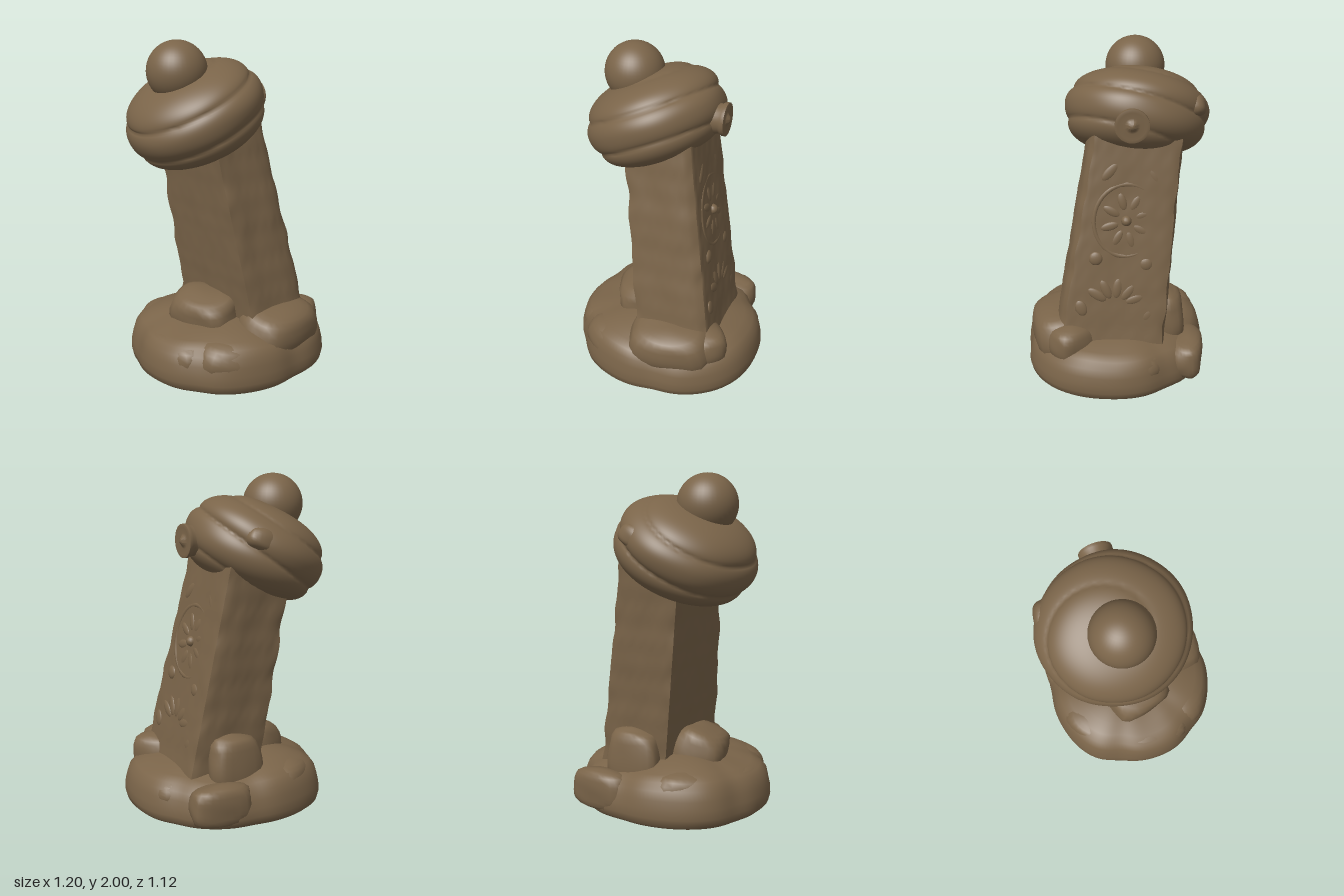
import * as THREE from 'three';
import { mergeVertices, toCreasedNormals } from 'three/addons/utils/BufferGeometryUtils.js';

const stone = new THREE.MeshStandardMaterial({ color: 0x7a6449 });
stone.name = 'brown stone';

// Smooth repeatable bumps in the range -1..1
const bump = (x, y, z, f, s = 0) =>
  (Math.sin(x * f + s + 1.3 * Math.sin(y * f * 0.8 + s)) +
   Math.sin(y * f * 1.1 + s * 2 + 1.3 * Math.sin(z * f * 0.9)) +
   Math.sin(z * f + s * 3 + 1.3 * Math.sin(x * f * 0.7))) / 3;

// Moves every vertex by a rule
function warp(geo, rule) {
  const p = geo.attributes.position, v = new THREE.Vector3();
  for (let i = 0; i < p.count; i++) {
    rule(v.fromBufferAttribute(p, i));
    p.setXYZ(i, v.x, v.y, v.z);
  }
  return geo;
}

// Joins seams and gives smooth normals, keeping edges sharper than the crease
function smooth(geo, crease) {
  geo.deleteAttribute('uv');
  geo.deleteAttribute('normal');
  const g = mergeVertices(geo, 1e-4);
  g.computeVertexNormals();
  return crease ? toCreasedNormals(g, crease) : g;
}

function add(parent, name, geo, pos = [0, 0, 0], rot = [0, 0, 0]) {
  const m = new THREE.Mesh(geo, stone);
  m.name = name;
  m.position.set(...pos);
  m.rotation.set(...rot);
  parent.add(m);
}

// Boulder: a sphere pushed towards a box, with bumps
function rock(parent, name, pos, size, rot, seed, boxy) {
  const geo = warp(new THREE.SphereGeometry(1, 28, 18), v => {
    const n = Math.max(Math.abs(v.x), Math.abs(v.y), Math.abs(v.z));
    v.multiplyScalar((1 - boxy) + boxy * Math.min(1 / n, 1.4));
    v.multiplyScalar(1 + 0.07 * bump(v.x, v.y, v.z, 3, seed));
    v.multiply(new THREE.Vector3(...size));
  });
  add(parent, name, smooth(geo), pos, rot);
}

function buildBase(g) {
  // Round plinth with a flat underside and a few clefts in its rim
  const profile = [[0, 0], [0.3, 0], [0.565, 0], [0.588, 0.02], [0.597, 0.06], [0.593, 0.11],
    [0.582, 0.16], [0.567, 0.21], [0.535, 0.25], [0.48, 0.275], [0.4, 0.3], [0.28, 0.33], [0, 0.35]]
    .map(([x, y]) => new THREE.Vector2(x, y));
  const clefts = [[0.07, -0.52], [0.5, -0.33], [-0.47, 0.3], [0.07, 0.54], [-0.53, -0.25]]
    .map(([x, z]) => Math.atan2(z, x));
  const geo = warp(new THREE.LatheGeometry(profile, 144), v => {
    const a = Math.atan2(v.z, v.x), s = Math.sin(2 * a);
    let cleft = 0;
    for (const c of clefts) cleft += Math.exp(-30 * (1 - Math.cos(a - c)) * 2);
    const k = 1 + 0.03 * s * s + 0.02 * s * Math.abs(s) - (0.025 + 0.1 * v.y) * cleft
      + 0.012 * bump(v.x, v.y, v.z, 9) * Math.min(1, v.y * 8);
    v.x *= k;
    v.z *= k * 0.945;
    if (v.y > 0.03) v.y += (0.025 * bump(v.x, 0, v.z, 8, 2) - 0.03 * v.x) * v.y / 0.28;
  });
  add(g, 'plinth', smooth(geo, 0.8));

  // Boulders heaped round the foot of the pillar
  rock(g, 'sideBlock', [-0.17, 0.3, 0], [0.165, 0.175, 0.21], [0.05, 0.25, 0.22], 1, 0.7);
  rock(g, 'backBoulder', [0.1, 0.32, -0.33], [0.17, 0.18, 0.095], [0.05, 0.1, 0], 2, 0.5);
  rock(g, 'backLedge', [0.26, 0.14, -0.44], [0.19, 0.12, 0.1], [0, -0.12, 0], 3, 0.5);
  rock(g, 'frontBoulder', [0.12, 0.26, 0.34], [0.27, 0.16, 0.18], [0.25, 0.05, 0], 4, 0.35);
  rock(g, 'cornerBoulder', [0.33, 0.26, 0.27], [0.12, 0.12, 0.15], [0, 0.7, 0], 5, 0.3);
  rock(g, 'leftLedge', [-0.42, 0.16, 0.02], [0.14, 0.12, 0.25], [0, 0, 0.05], 6, 0.4);
  rock(g, 'frontLeftLedge', [-0.24, 0.17, 0.3], [0.22, 0.13, 0.18], [0.1, -0.5, 0], 7, 0.3);
  rock(g, 'rightLedge', [0.41, 0.16, -0.05], [0.15, 0.1, 0.24], [0, 0, -0.08], 8, 0.3);
  rock(g, 'backLeftLedge', [-0.24, 0.17, -0.32], [0.22, 0.13, 0.17], [0, 0.6, 0], 9, 0.3);
}

function buildPillar(g) {
  // Leaning, tapering shaft with chipped, worn edges
  const geo = warp(new THREE.BoxGeometry(1, 1.35, 1, 16, 72, 22), v => {
    const y = v.y + 0.855, t = (y - 0.4) / 1.05;
    const edge = (v.x * v.z * 4) ** 6;
    const frontRight = Math.max(0, v.x * v.z * 4) ** 4 * (v.x > 0 ? 1 : 0);
    const wear = 0.004 * bump(v.x, y, v.z, 13) + 0.002 * bump(v.x, y, v.z, 37, 1)
      - 0.008 * edge * (1 + bump(v.x, y, v.z, 23, 2));
    const sx = 0.46 - 0.05 * t, sz = 0.66 - 0.1 * t;
    const x = v.x * (sx + 1.5 * wear), z = v.z * (sz + 2.5 * wear);
    v.set(0.12 - 0.15 * t + x, y, 0.02 - 0.135 * t + z + 0.02 * x - 0.03 * frontRight);
  });
  geo.computeVertexNormals();
  add(g, 'pillar', geo);

  // Worn relief on the +x face
  const relief = new THREE.Group();
  relief.name = 'reliefCarving';
  relief.position.set(0.345, 0.4, 0.02);
  relief.rotation.set(-0.13, 0, 0.165);
  g.add(relief);
  const boss = (name, y, z, ry, rz, h, turn = 0) => {
    const s = new THREE.SphereGeometry(1, 16, 10).scale(h, ry, rz);
    add(relief, name, s, [0, y, z], [turn, 0, 0]);
  };
  boss('centreBoss', 0.64, 0, 0.032, 0.032, 0.035);
  for (const s of [-1, 1]) {
    boss('roundBoss', 0.39, s * 0.15, 0.042, 0.042, 0.018);
    boss('lowerScroll', 0.07, s * 0.2, 0.05, 0.035, 0.012, s * 0.5);
    boss('upperLeaf', 0.92, s * 0.13, 0.07, 0.03, 0.012, -s * 0.6);
  }
  for (let i = 0; i < 8; i++) {
    const a = i * Math.PI / 4 + 0.39;
    boss('rosettePetal', 0.64 + 0.12 * Math.cos(a), 0.1 * Math.sin(a), 0.055, 0.026, 0.011, a);
  }
  for (let i = -2; i <= 2; i++) {
    const a = i * 0.55;
    boss('fanPetal', 0.12 + 0.1 * Math.cos(a), 0.13 * Math.sin(a), 0.065, 0.03, 0.013, a);
  }
  const ring = new THREE.TorusGeometry(0.19, 0.014, 8, 40).rotateY(Math.PI / 2).scale(0.8, 1.15, 1);
  add(relief, 'ovalBorder', ring, [-0.003, 0.64, 0]);
}

function buildTop(g) {
  // Tilted full turban with one spiralling wrap of cloth
  const geo = warp(new THREE.SphereGeometry(1, 112, 72), v => {
    const lat = Math.acos(THREE.MathUtils.clamp(v.y, -1, 1)), a = Math.atan2(v.z, v.x);
    const s = Math.sin(lat), n = v.y < 0 ? 2.6 : 2.2;
    const full = (s ** n + Math.abs(v.y) ** n) ** (-1 / n);
    const phase = lat * 1.35 + a / (2 * Math.PI) + 0.3 * Math.sin(a + 0.8) * s;
    const fold = Math.sqrt(Math.abs(Math.sin(Math.PI * phase)));
    const k = full * (1 + s * (0.07 * fold - 0.055) + 0.012 * bump(v.x, v.y, v.z, 5));
    v.set(v.x * 0.42 * k, v.y * 0.262 * k, v.z * 0.427 * k);
  });
  add(g, 'turban', smooth(geo), [-0.145, 1.572, -0.13], [-0.1, 0, 0.41]);
  add(g, 'ball', new THREE.SphereGeometry(0.178, 40, 28), [-0.275, 1.822, -0.125]);
  rock(g, 'backFold', [0, 1.64, -0.46], [0.11, 0.065, 0.075], [0.3, 0, 0.4], 3, 0.2);

  // Stout round brooch facing +x
  const brooch = [[0, -0.14], [0.11, -0.14], [0.092, -0.08], [0.086, -0.04], [0.098, -0.02],
    [0.098, 0], [0.08, 0.004], [0.045, -0.006], [0.03, 0], [0.018, 0.012], [0, 0.018]]
    .map(([x, y]) => new THREE.Vector2(x, y));
  const b = smooth(new THREE.LatheGeometry(brooch, 32), 0.8).rotateZ(-Math.PI / 2);
  add(g, 'brooch', b, [0.308, 1.625, -0.09]);
}

export function createModel() {
  const model = new THREE.Group();
  model.name = 'leaningPillar';
  for (const [name, build] of [['base', buildBase], ['shaft', buildPillar], ['top', buildTop]]) {
    const part = new THREE.Group();
    part.name = name;
    build(part);
    model.add(part);
  }
  return model;
}
